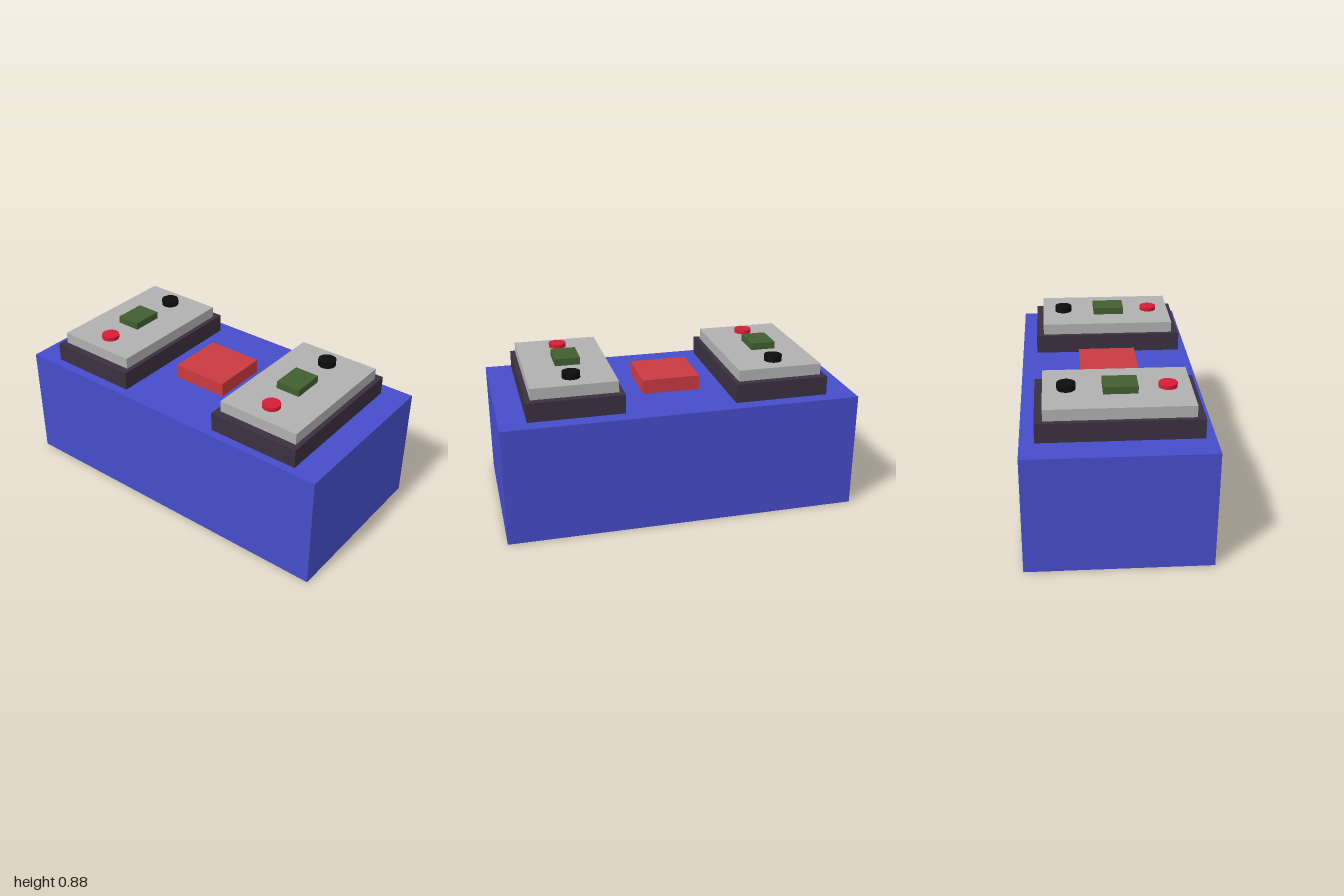
import * as THREE from 'three';

const mat = (color) => new THREE.MeshStandardMaterial({ color });
const materials = {
  body: mat(0x464dcb), pad: mat(0x3a3040), plate: mat(0xb0b0b0),
  block: mat(0xc93a40), key: mat(0x425f30), red: mat(0xd81c34), black: mat(0x0c0c0e),
};

// Place a mesh so that its underside sits at the given height
function add(parent, name, geometry, material, x, bottom, z, height) {
  const mesh = new THREE.Mesh(geometry, material);
  mesh.name = name;
  mesh.position.set(x, bottom + height / 2, z);
  parent.add(mesh);
}

function box(parent, name, material, w, h, d, x, bottom, z) {
  add(parent, name, new THREE.BoxGeometry(w, h, d), material, x, bottom, z, h);
}

function button(parent, name, material, h, x, bottom, z) {
  add(parent, name, new THREE.CylinderGeometry(0.05, 0.05, h, 32), material, x, bottom, z, h);
}

// Stepped control panel with two round buttons and a square key
function controlPanel(name, x, z) {
  const panel = new THREE.Group();
  panel.name = name;
  panel.position.set(x, 0.668, z);
  box(panel, 'panelBase', materials.pad, 0.533, 0.108, 0.868, 0, 0, 0);
  box(panel, 'panelPlate', materials.plate, 0.479, 0.064, 0.782, 0, 0.108, 0);
  box(panel, 'squareKey', materials.key, 0.142, 0.041, 0.183, -0.01, 0.172, 0.014);
  button(panel, 'redButton', materials.red, 0.023, 0, 0.172, 0.267);
  button(panel, 'blackButton', materials.black, 0.034, 0, 0.172, -0.266);
  return panel;
}

export function createModel() {
  const model = new THREE.Group();
  model.name = 'controlBox';
  box(model, 'body', materials.body, 2, 0.668, 1, 0, 0, 0);
  box(model, 'centreBlock', materials.block, 0.33, 0.082, 0.33, 0, 0.668, 0);
  model.add(controlPanel('rightPanel', -0.572, 0.012));
  model.add(controlPanel('leftPanel', 0.582, 0.019));
  return model;
}
